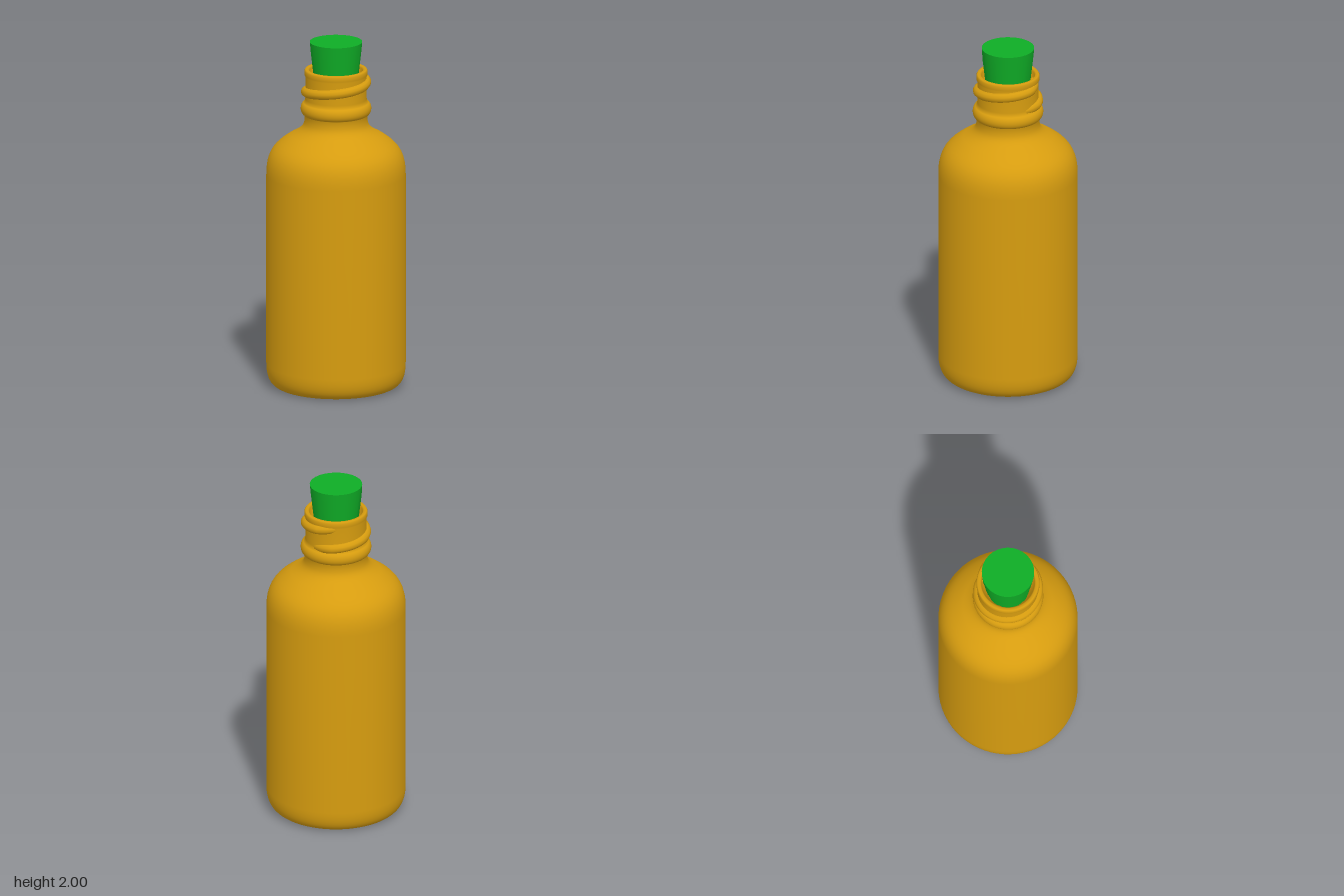
import * as THREE from 'three';

const amber = new THREE.MeshStandardMaterial({ color: 0xd69c0f });
amber.name = 'amber glass';
const green = new THREE.MeshStandardMaterial({ color: 0x0fac26 });
green.name = 'green stopper';

function part(name, geometry, material) {
  const mesh = new THREE.Mesh(geometry, material);
  mesh.name = name;
  return mesh;
}

// Bottle outline: base, wall, shoulder, neck with collar ring, rim and inner mouth
function bottleGeometry() {
  const p = new THREE.Path();
  p.moveTo(0, 0.008);
  p.lineTo(0.29, 0.008);
  p.lineTo(0.3, 0.002);
  p.lineTo(0.33, 0.002);
  p.bezierCurveTo(0.37, 0.01, 0.393, 0.05, 0.393, 0.13);
  p.lineTo(0.393, 0.7);
  p.lineTo(0.393, 1.23);
  p.bezierCurveTo(0.393, 1.36, 0.345, 1.4, 0.27, 1.45);
  p.bezierCurveTo(0.215, 1.48, 0.18, 1.5, 0.178, 1.545);
  p.lineTo(0.176, 1.575);
  p.bezierCurveTo(0.207, 1.585, 0.207, 1.64, 0.176, 1.652);
  p.lineTo(0.173, 1.67);
  p.lineTo(0.173, 1.8);
  p.lineTo(0.178, 1.81);
  p.lineTo(0.178, 1.832);
  p.lineTo(0.172, 1.841);
  p.lineTo(0.157, 1.841);
  p.lineTo(0.149, 1.832);
  p.lineTo(0.143, 1.79);
  p.lineTo(0.115, 1.74);
  return new THREE.LatheGeometry(p.getPoints(10), 64);
}

// Screw thread: just over one rising turn whose ends sink into the neck
class Thread extends THREE.Curve {
  getPoint(u, target = new THREE.Vector3()) {
    const t = -0.5 + u * (2 * Math.PI + 1);
    const fade = Math.min(1, u / 0.1, (1 - u) / 0.1);
    const r = 0.142 + 0.028 * fade;
    return target.set(-r * Math.sin(t), 1.67 + (0.115 * t) / (2 * Math.PI), -r * Math.cos(t));
  }
}

// Tapered stopper with faint irregular grooves down its side
function stopperGeometry() {
  const g = new THREE.CylinderGeometry(0.148, 0.116, 0.28, 48, 4);
  const pos = g.attributes.position;
  for (let i = 0; i < pos.count; i++) {
    const x = pos.getX(i), y = pos.getY(i), z = pos.getZ(i);
    const a = Math.atan2(z, x);
    const depth = y > 0.13 ? 0 : 0.0025;
    const k = 1 - depth * (Math.sin(a * 11) + Math.sin(a * 17 + 1.3)) / 0.14;
    pos.setXYZ(i, x * k, y, z * k);
  }
  g.translate(0, 1.86, 0);
  return g;
}

export function createModel() {
  const group = new THREE.Group();
  group.name = 'bottle';
  group.add(
    part('glassBody', bottleGeometry(), amber),
    part('neckThread', new THREE.TubeGeometry(new Thread(), 96, 0.028, 10), amber),
    part('stopper', stopperGeometry(), green)
  );
  return group;
}
